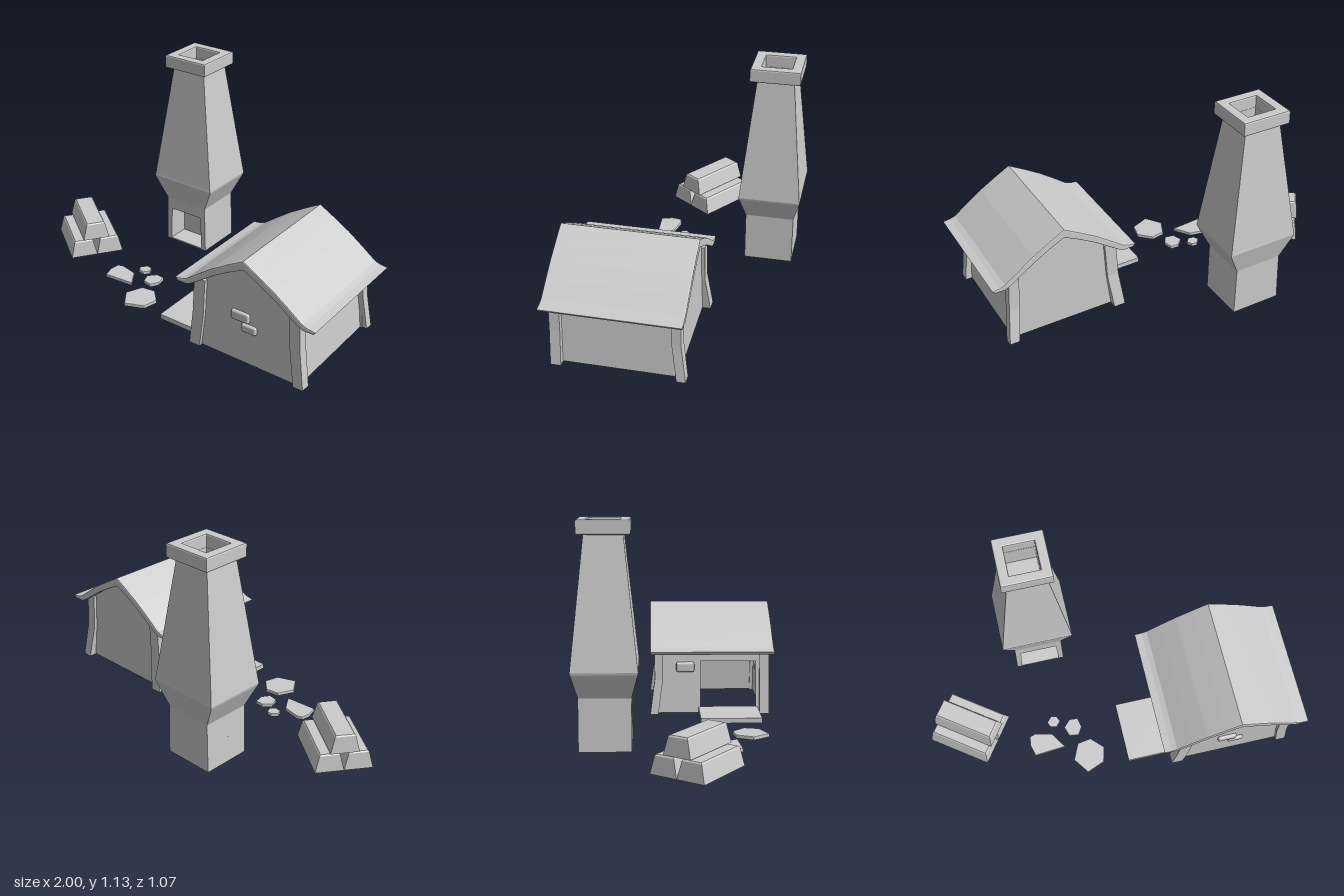
import * as THREE from 'three';
import { RoundedBoxGeometry } from 'three/addons/geometries/RoundedBoxGeometry.js';

const mat = new THREE.MeshStandardMaterial({ color: 0xcccccc, side: THREE.DoubleSide });

function add(parent, name, geometry, x = 0, y = 0, z = 0) {
  const mesh = new THREE.Mesh(geometry, mat);
  mesh.name = name;
  mesh.position.set(x, y, z);
  parent.add(mesh);
  return mesh;
}

// Solid through rectangular sections [y, x0, x1, z0, z1], from bottom to top
function loft(sections) {
  const pos = [], index = [];
  for (const [y, x0, x1, z0, z1] of sections) {
    pos.push(x0, y, z1, x1, y, z1, x1, y, z0, x0, y, z0);
  }
  for (let s = 0; s < sections.length - 1; s++) {
    for (let i = 0; i < 4; i++) {
      const a = s * 4 + i, b = s * 4 + (i + 1) % 4;
      index.push(a, b, b + 4, a, b + 4, a + 4);
    }
  }
  const t = (sections.length - 1) * 4;
  index.push(0, 2, 1, 0, 3, 2, t, t + 1, t + 2, t, t + 2, t + 3);
  const indexed = new THREE.BufferGeometry();
  indexed.setAttribute('position', new THREE.Float32BufferAttribute(pos, 3));
  indexed.setIndex(index);
  const g = indexed.toNonIndexed();
  g.computeVertexNormals();
  return g;
}

const centred = (y, hx, hz) => [y, -hx, hx, -hz, hz];
const polygon = (pts) => new THREE.Shape(pts.map(([x, y]) => new THREE.Vector2(x, y)));

function extrude(shape, depth, bevel = 0) {
  return new THREE.ExtrudeGeometry(shape, {
    depth: depth - 2 * bevel, bevelEnabled: bevel > 0, bevelThickness: bevel,
    bevelSize: bevel, bevelOffset: -bevel, bevelSegments: 2,
  }).translate(0, 0, bevel);
}

// Symmetrical outline from its right half, which starts and ends on the centre line
const mirrorOutline = (half) => polygon([...half, ...half.slice(1, -1).reverse().map(([x, y]) => [-x, y])]);

function makeHouse() {
  const house = new THREE.Group();
  house.name = 'house';
  const cx = 0.608;

  // Roof with upturned eaves
  add(house, 'roof', extrude(mirrorOutline([
    [0, 0.6], [0.08, 0.555], [0.17, 0.501], [0.25, 0.444], [0.325, 0.388], [0.352, 0.379], [0.392, 0.373],
    [0.379, 0.356], [0.325, 0.356], [0.295, 0.37], [0.17, 0.457], [0.08, 0.51], [0, 0.551],
  ]), 0.684, 0.006), cx, 0, -0.15);

  // Gable walls, reaching into the roof
  const gable = mirrorOutline([[0, 0.012], [0.307, 0.012], [0.277, 0.395], [0.17, 0.472], [0, 0.57]]);
  add(house, 'frontWall', extrude(gable, 0.014), cx, 0, 0.479);
  add(house, 'backWall', extrude(gable, 0.014), cx, 0, -0.108);

  // Side walls, the left one with a doorway
  add(house, 'rightWall', loft([[0.012, 0.891, 0.905, -0.1, 0.48], [0.34, 0.861, 0.875, -0.1, 0.48]]));
  for (const [z0, z1] of [[-0.1, 0.13], [0.44, 0.48]]) {
    add(house, 'leftWall', loft([[0.012, 0.305, 0.319, z0, z1], [0.34, 0.335, 0.349, z0, z1]]));
  }
  add(house, 'doorLintel', loft([[0.3, 0.331, 0.345, 0.13, 0.44], [0.34, 0.335, 0.349, 0.13, 0.44]]));

  // Corner posts flare out at the foot, more so at the back
  const leftX = [[0.283, 0.345], [0.305, 0.368], [0.315, 0.378]];
  const rightX = [[0.885, 0.938], [0.86, 0.916], [0.85, 0.904]];
  const frontZ = [[0.46, 0.512], [0.46, 0.512], [0.46, 0.512]];
  const backZ = [[-0.15, -0.105], [-0.125, -0.08], [-0.125, -0.08]];
  for (const xs of [leftX, rightX]) {
    for (const zs of [frontZ, backZ]) {
      add(house, 'cornerPost', loft([0.009, 0.2, 0.398].map((y, i) => [y, ...xs[i], ...zs[i]])));
    }
  }

  // Exposed bricks
  const brick = (name, w, h, d, x, y, z) => add(house, name, new RoundedBoxGeometry(w, h, d, 2, 0.01), x, y, z);
  brick('frontBrick', 0.1, 0.052, 0.05, 0.575, 0.271, 0.484);
  brick('frontBrick', 0.082, 0.044, 0.05, 0.625, 0.217, 0.484);
  brick('sideBrick', 0.05, 0.052, 0.1, 0.319, 0.271, 0.045);

  // Doorstep slab
  add(house, 'doorstep', new THREE.BoxGeometry(0.27, 0.027, 0.33), 0.185, 0.03, 0.285);
  return house;
}

function makeFurnace() {
  const furnace = new THREE.Group();
  furnace.name = 'furnace';
  furnace.position.set(-0.31, 0, -0.37);

  // Base around the open hearth, whose back panel stands at z = inner
  const inner = 0.01, foot = 0.008;
  add(furnace, 'baseBack', loft([[foot, -0.136, 0.136, -0.13, inner], [0.275, -0.13, 0.13, -0.13, inner]]));
  add(furnace, 'baseLeft', loft([[foot, 0.108, 0.136, inner, 0.13], [0.21, 0.1, 0.1315, inner, 0.13]]));
  add(furnace, 'baseRight', loft([[foot, -0.136, -0.108, inner, 0.13], [0.21, -0.1315, -0.1, inner, 0.13]]));
  add(furnace, 'hearthLintel', loft([[0.21, -0.1315, 0.1315, inner, 0.13], [0.275, -0.13, 0.13, inner, 0.13]]));
  add(furnace, 'hearthFloor', loft([[foot, -0.108, 0.108, inner, 0.13], [0.016, -0.108, 0.108, inner, 0.13]]));

  // Bulging stack, turning inward to the flue at its top
  add(furnace, 'stack', loft([
    centred(0.275, 0.13, 0.13), centred(0.4, 0.189, 0.161), centred(0.412, 0.192, 0.164),
    centred(0.425, 0.19, 0.162), centred(1.068, 0.098, 0.095), centred(1.068, 0.078, 0.078),
    centred(0.95, 0.078, 0.078),
  ]));

  // Hollow cap
  const square = (h) => [[-h, -h], [h, -h], [h, h], [-h, h]];
  const ring = polygon(square(0.13));
  ring.holes.push(polygon(square(0.078)));
  add(furnace, 'cap', extrude(ring, 0.073, 0.008).rotateX(-Math.PI / 2), 0, 1.062, 0);
  return furnace;
}

function makeIngots() {
  const pile = new THREE.Group();
  pile.name = 'ingotPile';
  pile.position.set(-0.775, 0, 0.065);
  pile.rotation.y = -0.62;
  const bar = loft([
    centred(0, 0.173, 0.073), centred(0.087, 0.164, 0.052), centred(0.094, 0.158, 0.046),
  ]);
  for (const [y, z] of [[0.02, -0.073], [0.02, 0.073], [0.12, 0]]) add(pile, 'ingot', bar, 0, y, z);
  return pile;
}

function makeStones() {
  const stones = new THREE.Group();
  stones.name = 'pavingStones';
  // Outlines as [x, z]
  const outlines = [
    [[-0.46, 0.19], [-0.43, 0.18], [-0.335, 0.2], [-0.278, 0.288], [-0.45, 0.302], [-0.467, 0.24]],
    [[-0.348, 0.13], [-0.32, 0.1], [-0.29, 0.105], [-0.275, 0.135], [-0.3, 0.165], [-0.335, 0.158]],
    [[-0.26, 0.18], [-0.222, 0.14], [-0.175, 0.143], [-0.163, 0.195], [-0.19, 0.24], [-0.242, 0.23]],
    [[-0.205, 0.287], [-0.13, 0.275], [-0.065, 0.34], [-0.085, 0.42], [-0.185, 0.46], [-0.245, 0.375]],
  ];
  for (const pts of outlines) {
    const shape = polygon(pts.map(([x, z]) => [x, -z]));
    add(stones, 'stone', extrude(shape, 0.02, 0.004).rotateX(-Math.PI / 2), 0, 0.004, 0);
  }
  return stones;
}

export function createModel() {
  const model = new THREE.Group();
  model.name = 'smelterYard';
  model.add(makeHouse(), makeFurnace(), makeIngots(), makeStones());
  return model;
}
